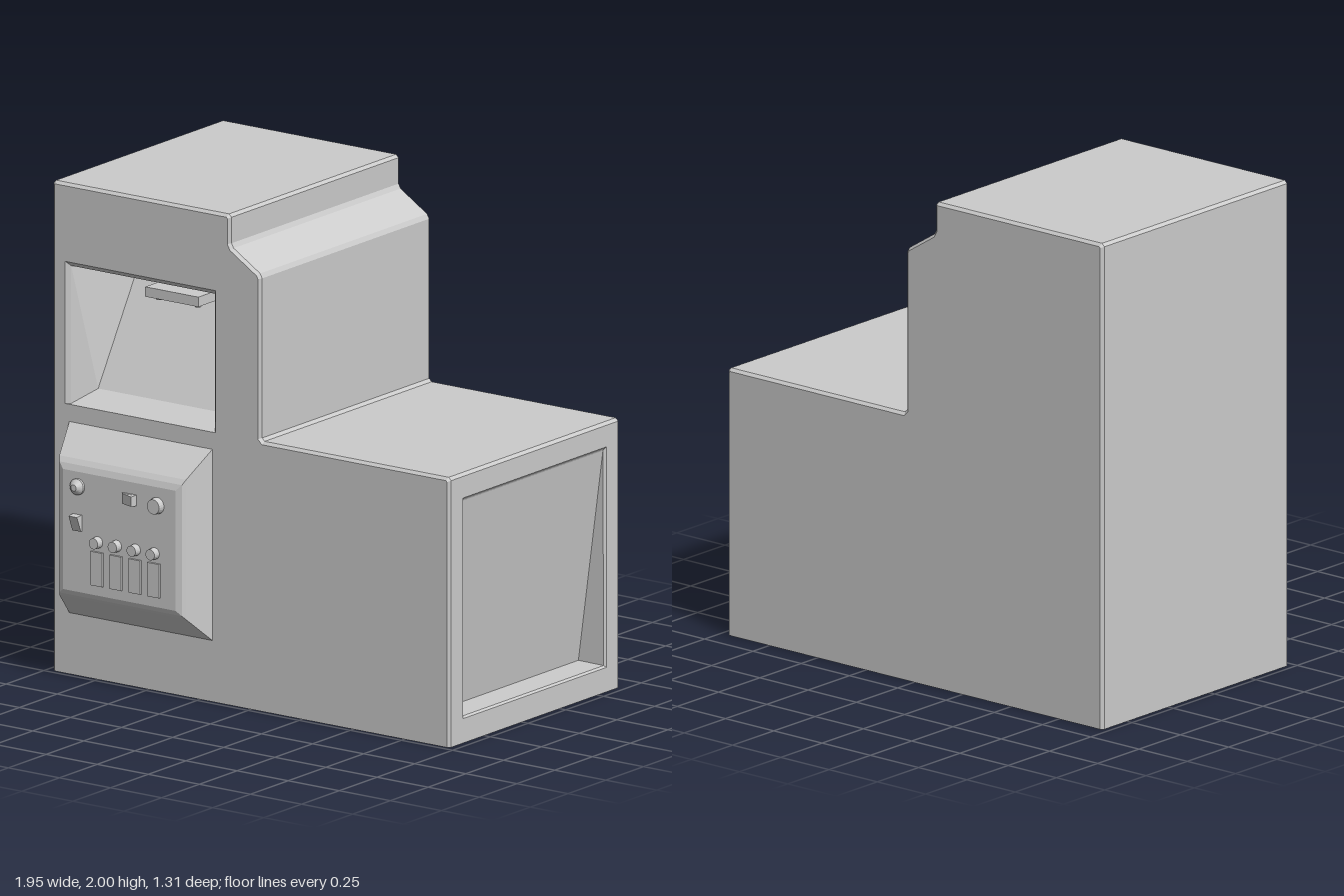
import * as THREE from 'three';

const material = new THREE.MeshStandardMaterial({ color: 0xcccccc, flatShading: true, side: THREE.DoubleSide });
const FRONT = 0.48, BACK = -0.65, BEVEL = 0.012;

function add(parent, name, geometry, x = 0, y = 0, z = 0) {
  const mesh = new THREE.Mesh(geometry, material);
  mesh.name = name;
  mesh.position.set(x, y, z);
  parent.add(mesh);
  return mesh;
}

// Skin between successive rings of [x, y, z]; a closed loft ends in a flat cap.
function loft(rings, closed) {
  const n = rings[0].length, index = [];
  for (let r = 0; r < rings.length - 1; r++) {
    for (let i = 0; i < (closed ? n : n - 1); i++) {
      const a = r * n + i, b = r * n + (i + 1) % n;
      index.push(a, b, b + n, a, b + n, a + n);
    }
  }
  if (closed) {
    const s = (rings.length - 1) * n;
    for (let i = 1; i < n - 1; i++) index.push(s, s + i, s + i + 1);
  }
  const geometry = new THREE.BufferGeometry();
  geometry.setAttribute('position', new THREE.Float32BufferAttribute(rings.flat(2), 3));
  geometry.setIndex(index);
  const flat = geometry.toNonIndexed();
  flat.computeVertexNormals();
  return flat;
}

// Rectangle ring with separate depths for the bottom and top edges.
const rect = (x0, x1, y0, y1, zBottom, zTop = zBottom) =>
  [[x0, y0, zBottom], [x1, y0, zBottom], [x1, y1, zTop], [x0, y1, zTop]];

const toShape = (points) => new THREE.Shape(points.map(p => new THREE.Vector2(p[0], p[1])));
const toHole = (ring) => new THREE.Path(ring.map(p => new THREE.Vector2(p[0], p[1])).reverse());
const atZ = (points, z) => points.map(p => [p[0], p[1], z]);

// Cut each inner corner of an open path.
function chamfer(points, size) {
  return points.flatMap((p, i) => {
    if (i === 0 || i === points.length - 1) return [p];
    return [points[i - 1], points[i + 1]].map(q => {
      const d = Math.hypot(q[0] - p[0], q[1] - p[1]);
      return [p[0] + (q[0] - p[0]) * size / d, p[1] + (q[1] - p[1]) * size / d];
    });
  });
}

// Move an open path inwards with mitred corners.
function inset(points, size) {
  const normal = (a, b) => {
    const d = Math.hypot(b[0] - a[0], b[1] - a[1]);
    return [(b[1] - a[1]) / d, (a[0] - b[0]) / d];
  };
  return points.map((p, i) => {
    const m = normal(points[Math.max(i - 1, 0)], points[Math.max(i, 1)]);
    const last = points.length - 1;
    const n = normal(points[Math.min(i, last - 1)], points[Math.min(i + 1, last)]);
    const k = size / (1 + m[0] * n[0] + m[1] * n[1]);
    return [p[0] - (m[0] + n[0]) * k, p[1] - (m[1] + n[1]) * k];
  });
}

function buildCabinet(group) {
  // Stepped outline, open along the floor
  const outline = chamfer([
    [0.97, 0], [0.97, 1.1], [0.045, 1.1], [0.045, 1.775],
    [-0.105, 1.87], [-0.105, 2], [-0.975, 2], [-0.975, 0],
  ], BEVEL);
  const inner = inset(outline, BEVEL);
  const zb = BACK + BEVEL, zf = FRONT - BEVEL;

  // Outer skin and bevelled edges
  add(group, 'cabinetSkin', loft([atZ(outline.slice(1), zb), atZ(outline.slice(1), zf)], false));
  add(group, 'backBevel', loft([atZ(inner, BACK), atZ(outline, zb)], false));
  add(group, 'frontBevel', loft([atZ(outline, zf), atZ(inner, FRONT)], false));

  // Front wall, pierced for the alcove and the console
  const alcove = rect(-0.91, -0.175, 1.1, 1.68, FRONT);
  const consoleBase = rect(-0.89, -0.19, 0.25, 1.03, FRONT);
  const front = toShape(inner);
  front.holes.push(toHole(alcove), toHole(consoleBase));
  add(group, 'frontWall', new THREE.ShapeGeometry(front), 0, 0, FRONT);

  const back = new THREE.ShapeGeometry(toShape(inner));
  back.rotateY(Math.PI);
  back.scale(-1, 1, 1);
  const index = back.index.array;
  for (let i = 0; i < index.length; i += 3) [index[i], index[i + 1]] = [index[i + 1], index[i]];
  back.computeVertexNormals();
  add(group, 'backWall', back, 0, 0, BACK);

  // Alcove with a sloping back
  add(group, 'alcove', loft([
    alcove,
    rect(-0.892, -0.187, 1.1, 1.662, FRONT - 0.015),
    rect(-0.83, -0.25, 1.15, 1.6, FRONT - 0.11, FRONT - 0.38),
  ], true));

  // Console housing
  add(group, 'consoleHousing', loft([
    consoleBase,
    rect(-0.85, -0.23, 0.355, 0.925, 0.6),
    rect(-0.84, -0.24, 0.37, 0.905, 0.614),
    rect(-0.815, -0.265, 0.39, 0.88, 0.623),
  ], true));

  // Side wall with a wedge-shaped recess, drawn flat then turned to face +x
  const side = new THREE.Group();
  side.name = 'sidePanel';
  side.rotation.y = Math.PI / 2;
  side.position.x = 0.97;
  group.add(side);
  const opening = rect(-0.39, 0.56, 0.1, 1, 0);
  const wall = toShape(rect(-zf, -zb, 0, 1.1 - BEVEL, 0));
  wall.holes.push(toHole(opening));
  add(side, 'sideWall', new THREE.ShapeGeometry(wall));
  add(side, 'sideRecess', loft([
    opening,
    rect(-0.382, 0.552, 0.108, 0.99, -0.008),
    rect(-0.382, 0.55, 0.11, 0.985, -0.13, -0.01),
  ], true));
}

function buildDispenser(group) {
  // Bar at the head of the alcove with two nozzles
  add(group, 'dispenserBar', new THREE.BoxGeometry(0.26, 0.04, 0.15), -0.54, 1.55, 0.2);
  for (const x of [-0.635, -0.445]) {
    add(group, 'nozzle', new THREE.CylinderGeometry(0.018, 0.012, 0.016, 12), x, 1.523, 0.23);
  }
}

function buildControls(group) {
  const z = 0.623;
  const round = (name, x, y, r0, r1, depth, start = z) => {
    const g = new THREE.CylinderGeometry(r1, r0, depth, 20);
    g.rotateX(Math.PI / 2);
    return add(group, name, g, x, y, start + depth / 2);
  };
  const plate = (name, x, y, w, h, depth) =>
    add(group, name, new THREE.BoxGeometry(w, h, depth), x, y, z + depth / 2);

  // Domed button and dial
  round('domeBase', -0.742, 0.82, 0.033, 0.033, 0.01);
  round('dome', -0.742, 0.82, 0.033, 0.013, 0.02, z + 0.01);
  round('dial', -0.355, 0.805, 0.034, 0.03, 0.027);

  // Two rocker switches, each a plate with a tilted wedge
  const rocker = (x, y, turn) => {
    const g = loft([
      rect(-0.022, 0.022, -0.033, 0.033, 0),
      rect(-0.022, 0.022, -0.033, 0.033, 0.008),
      rect(-0.02, 0.02, -0.028, 0.03, 0.01, 0.032),
    ], true);
    add(group, 'rockerSwitch', g, x, y, z).rotation.z = turn;
  };
  rocker(-0.744, 0.673, 0);
  rocker(-0.488, 0.81, -Math.PI / 2);

  // Row of push buttons over their label plates
  for (let i = 0; i < 4; i++) {
    const x = -0.645 + i * 0.0925;
    round('pushButton', x, 0.608, 0.024, 0.022, 0.03);
    plate('labelPlate', x, 0.5, 0.057, 0.138, 0.01);
  }
}

export function createModel() {
  const model = new THREE.Group();
  model.name = 'controlCabinet';
  for (const [name, build] of [
    ['cabinet', buildCabinet], ['dispenser', buildDispenser], ['controls', buildControls],
  ]) {
    const part = new THREE.Group();
    part.name = name;
    build(part);
    model.add(part);
  }
  return model;
}
